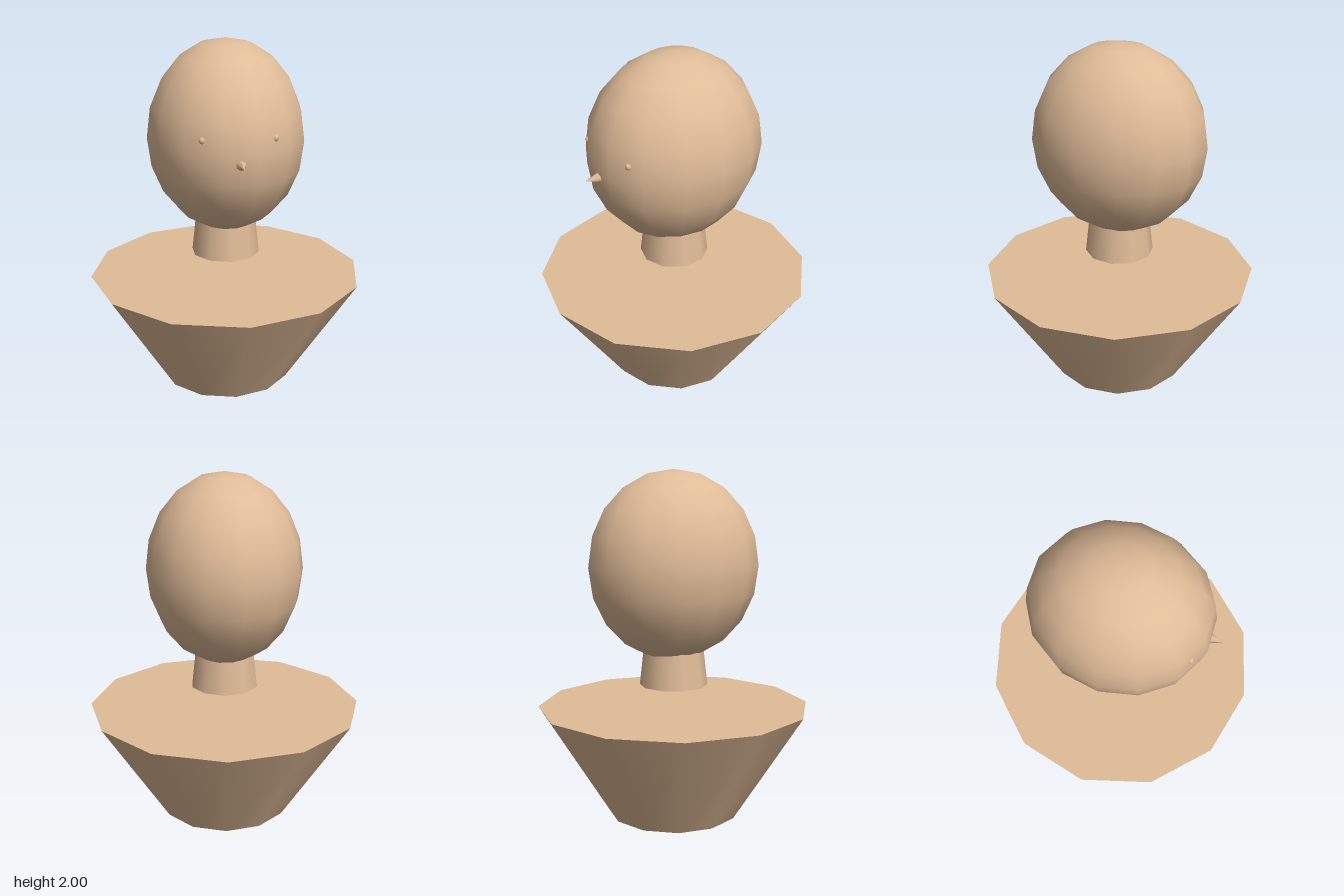
import * as THREE from 'three';

export function createModel() {
  const model = new THREE.Group();
  model.name = 'bust';
  const skin = new THREE.MeshStandardMaterial({ color: 0xe0bc98 });
  skin.name = 'skin';

  const add = (name, geometry, x, y, z) => {
    const mesh = new THREE.Mesh(geometry, skin);
    mesh.name = name;
    mesh.position.set(x, y, z);
    model.add(mesh);
    return mesh;
  };

  // Tapered twelve-sided shoulders, standing on the ground
  add('shoulders', new THREE.CylinderGeometry(0.79, 0.385, 0.645, 12), 0, 0.3225, 0);

  // Neck floats above the shoulders and runs up into the head
  add('neck', new THREE.CylinderGeometry(0.158, 0.198, 0.36, 10), 0, 0.945, 0);

  // Egg-shaped head, deeper than it is wide
  const head = new THREE.SphereGeometry(1, 14, 10);
  head.scale(0.443, 0.54, 0.512);
  add('head', head, 0, 1.46, 0);

  // Six-sided pointed nose
  const nose = new THREE.ConeGeometry(0.036, 0.11, 6);
  nose.rotateX(Math.PI / 2);
  add('nose', nose, 0, 1.413, 0.522);

  // Small eyes, mostly sunk into the head
  for (const side of [-1, 1]) {
    add(side > 0 ? 'leftEye' : 'rightEye', new THREE.SphereGeometry(0.02, 8, 6), side * 0.19, 1.535, 0.427);
  }

  return model;
}
